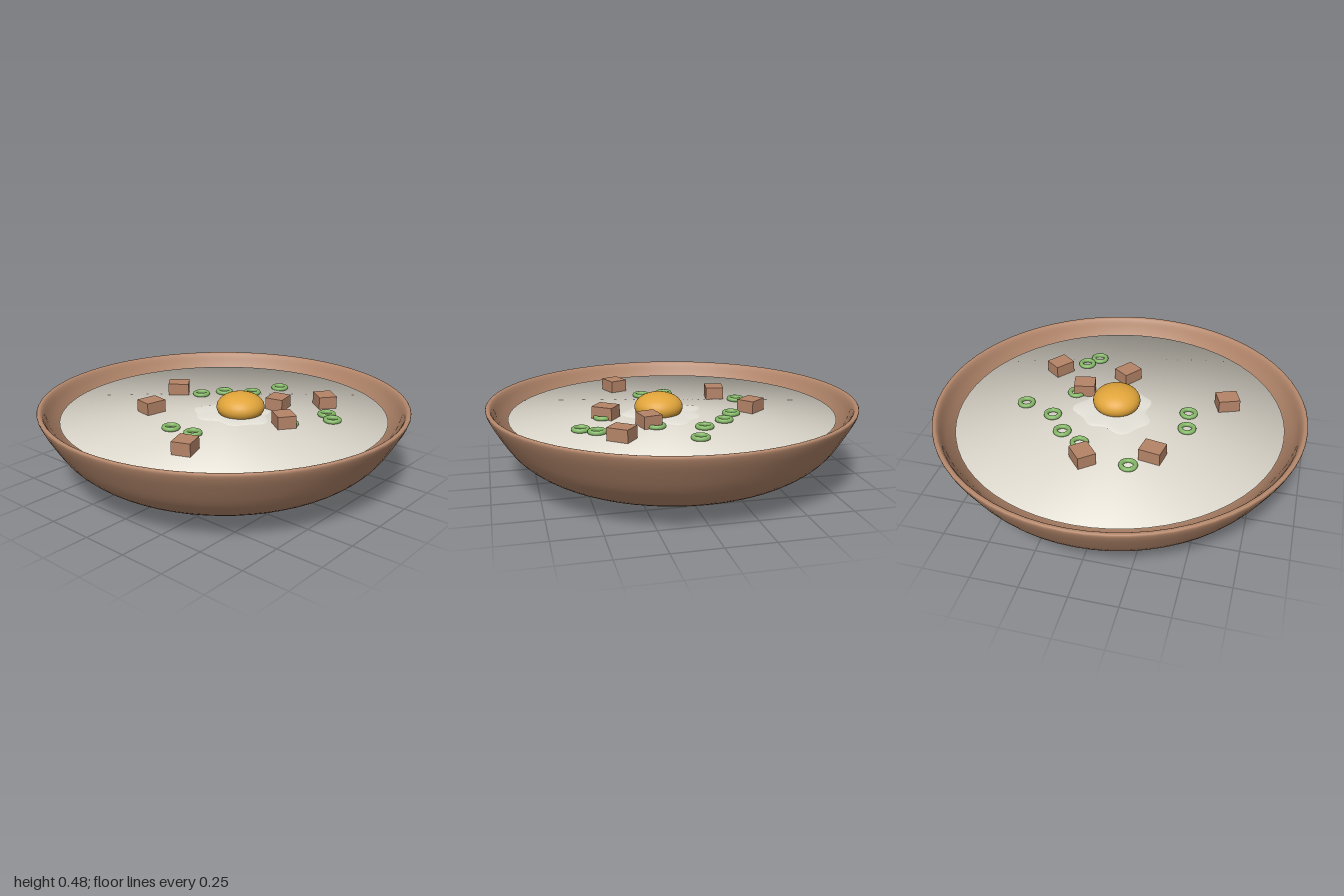
import * as THREE from 'three';

const mat = (name, color, side = THREE.FrontSide) => {
  const m = new THREE.MeshStandardMaterial({ color, side });
  m.name = name;
  return m;
};
const points = (list) => list.map(([x, y]) => new THREE.Vector2(x, y));

export function createModel() {
  const clay = mat('clay brown', 0xb5886c, THREE.DoubleSide);
  const cream = mat('porridge cream', 0xe0dbcf);
  const white = mat('egg white', 0xe4e1d8);
  const yellow = mat('yolk yellow', 0xe0a43a);
  const green = mat('scallion green', 0x85b868);
  const pink = mat('meat brown', 0xb58468);

  const model = new THREE.Group();
  model.name = 'porridgeBowl';
  const add = (name, geometry, material, x = 0, y = 0, z = 0, parent = model) => {
    const mesh = new THREE.Mesh(geometry, material);
    mesh.name = name;
    mesh.position.set(x, y, z);
    parent.add(mesh);
    return mesh;
  };

  // Bowl: outer wall, rounded rim and inner wall in one profile
  const profile = new THREE.SplineCurve(points([
    [0, 0], [0.25, 0.01], [0.47, 0.028], [0.634, 0.06], [0.767, 0.12], [0.874, 0.21],
    [0.962, 0.345], [0.998, 0.42], [0.987, 0.433], [0.968, 0.42],
    [0.932, 0.345], [0.848, 0.225], [0.745, 0.143], [0.62, 0.088], [0.46, 0.058], [0.25, 0.04], [0, 0.034],
  ])).getPoints(64);
  profile.forEach((p) => p.set(Math.max(p.x, 0), Math.max(p.y, 0)));
  add('bowl', new THREE.LatheGeometry(profile, 64), clay);

  // Porridge: a flat-topped filling that narrows downward, softly shaded
  const filling = points([[0, 0.02], [0.285, 0.02], [0.885, 0.362], [0, 0.362]]);
  add('porridge', new THREE.LatheGeometry(filling, 64), cream);

  // Egg white: thin puddle with a wavy outline
  const puddle = new THREE.SphereGeometry(1, 48, 12, 0, Math.PI * 2, 0, Math.PI / 2);
  const pos = puddle.attributes.position;
  for (let i = 0; i < pos.count; i++) {
    const x = pos.getX(i), z = pos.getZ(i), a = Math.atan2(z, x);
    const r = 0.205 + 0.022 * Math.sin(3 * a + 0.6) + 0.016 * Math.sin(7 * a + 1);
    pos.setXYZ(i, x * r, pos.getY(i) * 0.012, z * r);
  }
  puddle.computeVertexNormals();
  add('eggWhite', puddle, white, 0.05, 0.361, -0.035);

  // Yolk
  add('yolk', new THREE.SphereGeometry(0.131, 32, 20).scale(1, 0.6, 1), yellow, 0.085, 0.404, -0.04);

  // Scallion rings
  const scallions = new THREE.Group();
  scallions.name = 'scallions';
  model.add(scallions);
  const ring = new THREE.TorusGeometry(0.037, 0.0125, 10, 24).rotateX(Math.PI / 2);
  [
    [-0.016, -0.532], [-0.086, -0.356], [-0.219, -0.26], [-0.294, -0.142], [-0.412, 0.147], [-0.037, 0.377],
    [0.102, 0.361], [0.15, -0.291], [0.46, -0.318], [0.535, -0.26], [0.395, -0.067],
  ].forEach(([x, z]) => add('scallionRing', ring, green, x, 0.371, z, scallions));

  // Diced meat: x, z and turn in degrees
  const meat = new THREE.Group();
  meat.name = 'dicedMeat';
  model.add(meat);
  const cube = new THREE.BoxGeometry(0.1, 0.07, 0.117);
  [
    [0.358, -0.45, 52], [0.182, -0.25, 12], [-0.422, -0.088, -50],
    [0.374, -0.045, 54], [-0.31, 0.249, -10], [0.23, 0.553, 21],
  ].forEach(([x, z, turn]) => {
    add('meatCube', cube, pink, x, 0.394, z, meat).rotation.y = THREE.MathUtils.degToRad(turn);
  });

  return model;
}
